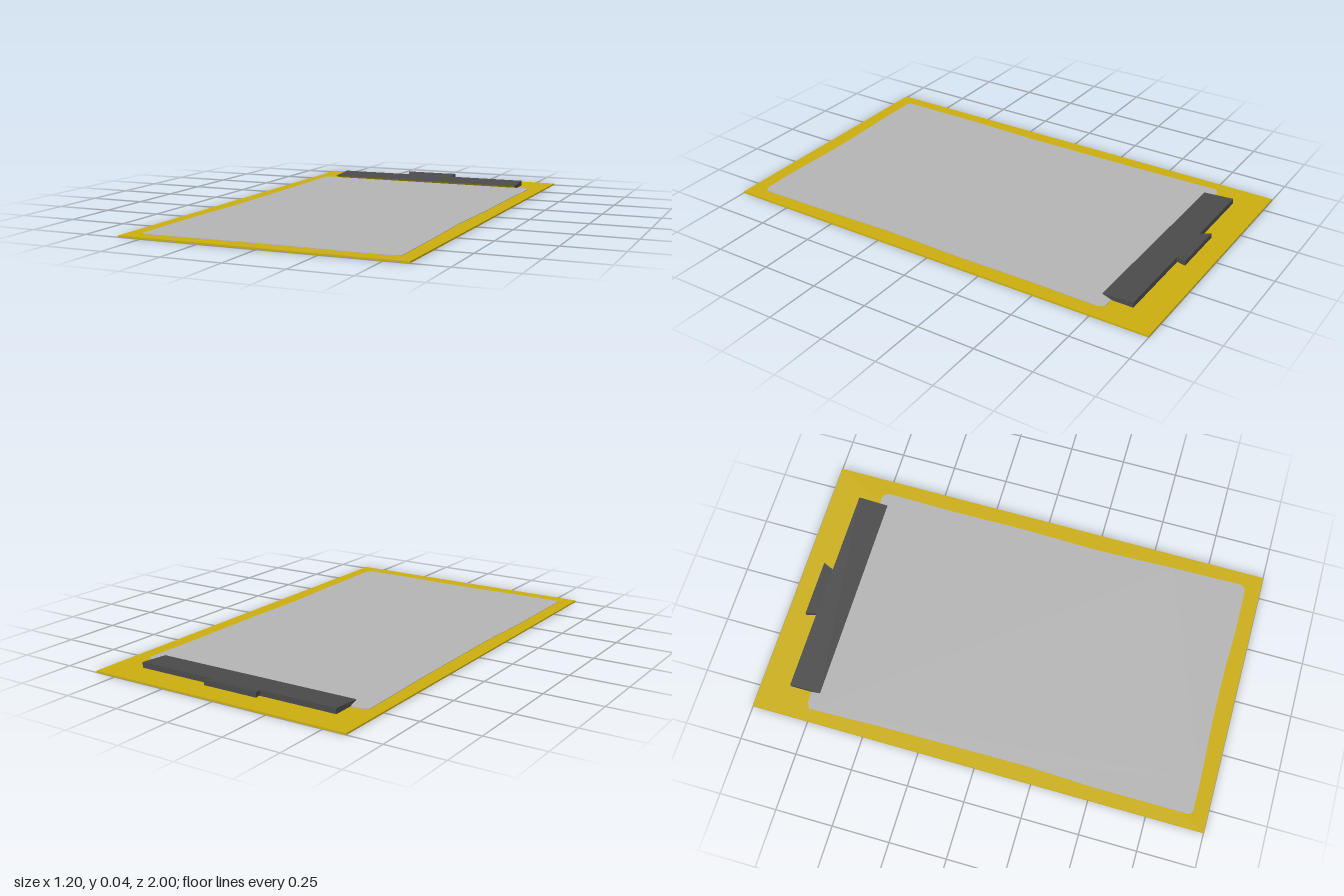
import * as THREE from 'three';

const mat = (name, color) => {
  const m = new THREE.MeshStandardMaterial({ color });
  m.name = name;
  return m;
};

// Prism along x. Each profile point is [z, y, xMin, xMax], counter-clockwise seen from +x;
// edges listed in underEdges use the second material.
function prism(name, profile, underEdges, materials) {
  const pos = [];
  const geo = new THREE.BufferGeometry();
  const right = ([z, y, a]) => [a, y, z];
  const left = ([z, y, , b]) => [b, y, z];
  const tri = (...pts) => pts.forEach((p) => pos.push(...p));
  const n = profile.length;
  for (let i = 1; i < n - 1; i++) {
    tri(left(profile[0]), left(profile[i]), left(profile[i + 1]));
    tri(right(profile[0]), right(profile[i + 1]), right(profile[i]));
  }
  geo.addGroup(0, pos.length / 3, 0);
  for (let i = 0; i < n; i++) {
    const p = profile[i], q = profile[(i + 1) % n], start = pos.length / 3;
    tri(left(p), right(p), right(q));
    tri(left(p), right(q), left(q));
    geo.addGroup(start, 6, underEdges.includes(i) ? 1 : 0);
  }
  geo.setAttribute('position', new THREE.Float32BufferAttribute(pos, 3));
  geo.computeVertexNormals();
  const mesh = new THREE.Mesh(geo, materials);
  mesh.name = name;
  return mesh;
}

export function createModel() {
  const yellow = mat('boardYellow', 0xc9ad0f);
  const white = mat('paperGrey', 0xb3b3b3);
  const dark = mat('clipGrey', 0x4a4a4a);
  const group = new THREE.Group();
  group.name = 'clipboard';

  // Backing board
  const board = new THREE.Mesh(new THREE.BoxGeometry(1.2, 0.007, 2), yellow);
  board.position.y = 0.0035;
  board.name = 'board';
  group.add(board);

  // Paper sheet with slightly wavy edges, outline as [x, z]
  const outline = [
    [-0.54, 0.925], [-0.525, 0.937], [-0.38, 0.937], [-0.1, 0.928], [0.12, 0.928], [0.32, 0.935],
    [0.52, 0.933], [0.54, 0.915], [0.535, 0.6], [0.525, 0.25], [0.533, -0.1], [0.53, -0.45],
    [0.535, -0.75], [0.52, -0.775], [0.3, -0.78], [-0.3, -0.78], [-0.52, -0.775], [-0.545, -0.76],
    [-0.535, -0.38], [-0.53, 0.2], [-0.54, 0.5],
  ];
  const shape = new THREE.Shape(outline.map(([x, z]) => new THREE.Vector2(x, -z)));
  const paper = new THREE.Mesh(
    new THREE.ExtrudeGeometry(shape, { depth: 0.002, bevelEnabled: false }), white);
  paper.rotation.x = -Math.PI / 2;
  paper.position.y = 0.007;
  paper.name = 'paper';
  group.add(paper);

  // Clip: sloping bar with an undercut front lip, and a flared thumb tab behind it
  const clip = new THREE.Group();
  clip.name = 'clip';
  const bar = [[-0.735, 0.022], [-0.78, 0.007], [-0.87, 0.007], [-0.87, 0.031]]
    .map(([z, y]) => [z, y, -0.47, 0.47]);
  clip.add(prism('clipBar', bar, [0, 1], [dark, yellow]));
  const tab = [
    [-0.87, 0.031, -0.125, 0.095], [-0.87, 0.012, -0.125, 0.095],
    [-0.915, 0.017, -0.14, 0.112], [-0.915, 0.039, -0.14, 0.112],
  ];
  clip.add(prism('clipTab', tab, [1], [dark, yellow]));
  group.add(clip);
  return group;
}
